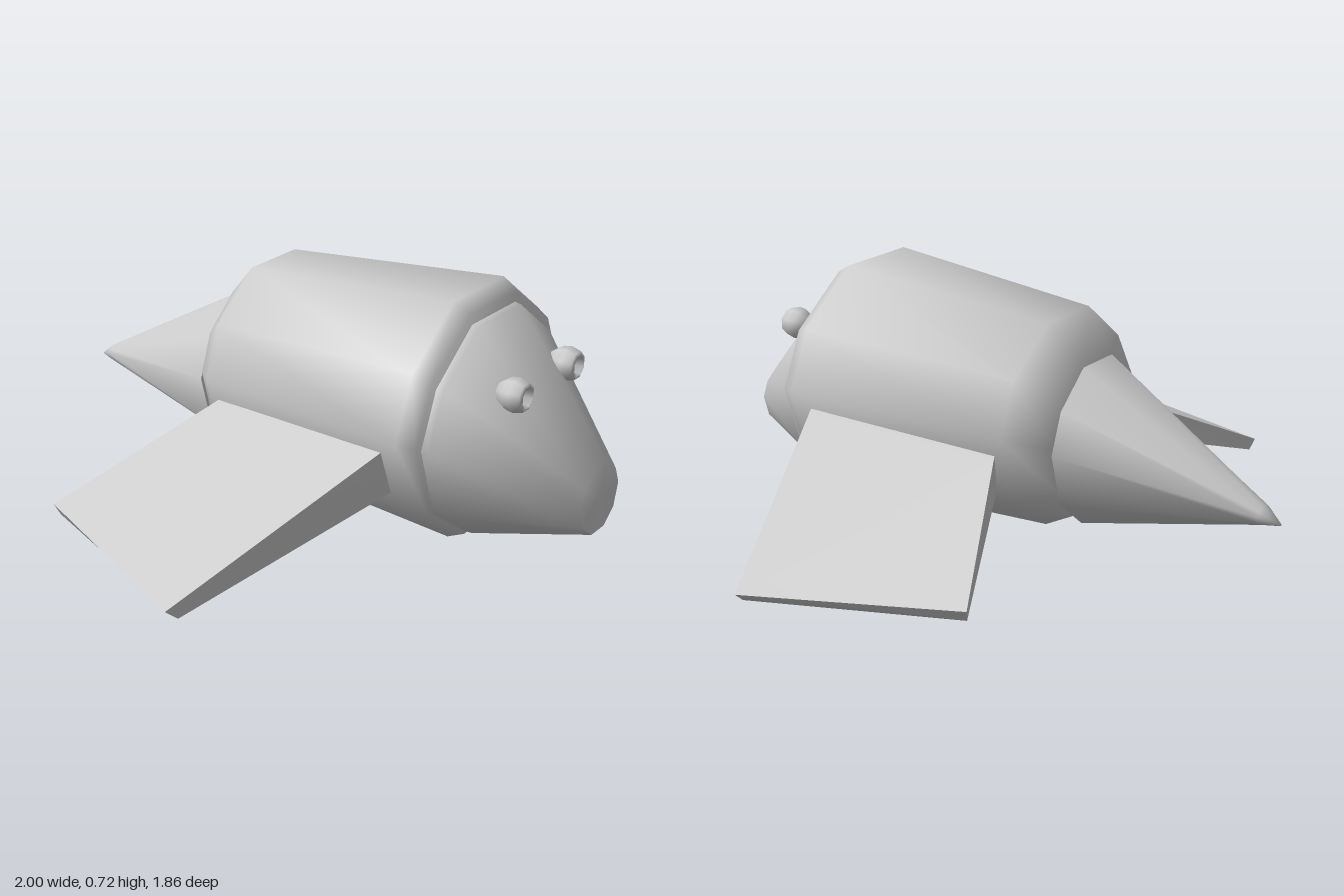
import * as THREE from 'three';
import { toCreasedNormals } from 'three/addons/utils/BufferGeometryUtils.js';

const material = new THREE.MeshStandardMaterial({ color: 0xcccccc });

// Ten-sided cross-section outline: x across, y from bottom (0) to top (1)
const half = [[1, 0.54], [0.81, 0.79], [0.32, 1], [-0.32, 1], [-0.81, 0.79],
  [-1, 0.54], [-0.81, 0.2], [-0.32, 0], [0.32, 0], [0.81, 0.2]];

const ring = (z, halfWidth, bottom, top) =>
  half.map(([x, y]) => [x * halfWidth, bottom + y * (top - bottom), z]);

// Skin a series of closed sections and cap both ends
function loft(name, rings, crease = 1.2) {
  const n = rings[0].length;
  const points = rings.flat();
  const index = [];
  for (let i = 0; i < rings.length - 1; i++) {
    for (let j = 0; j < n; j++) {
      const k = (j + 1) % n;
      const a = i * n + j, b = i * n + k, c = b + n, d = a + n;
      index.push(a, b, c, a, c, d);
    }
  }
  const last = (rings.length - 1) * n;
  const centre = r => [0, 1, 2].map(k => r.reduce((s, p) => s + p[k], 0) / n);
  const back = points.push(centre(rings[0])) - 1;
  const front = points.push(centre(rings[rings.length - 1])) - 1;
  for (let j = 0; j < n; j++) {
    const k = (j + 1) % n;
    index.push(back, k, j, front, last + j, last + k);
  }
  const geometry = new THREE.BufferGeometry();
  geometry.setAttribute('position', new THREE.Float32BufferAttribute(points.flat(), 3));
  geometry.setIndex(index);
  const mesh = new THREE.Mesh(toCreasedNormals(geometry, crease), material);
  mesh.name = name;
  return mesh;
}

// Slab wing sweeping back and down; side is +1 (left) or -1 (right)
function wing(side) {
  // leading top, leading bottom, trailing bottom, trailing top
  const root = [[0.4, 0.34, 0.455], [0.41, 0.19, 0.44], [0.33, 0.18, -0.18], [0.33, 0.31, -0.18]];
  const tip = [[1, 0.045, 0.2], [0.96, 0.01, 0.21], [0.755, 0.05, -0.41], [0.77, 0.085, -0.42]];
  const inner = root.map((p, i) => p.map((v, k) => v - 0.25 * (tip[i][k] - v)));
  const sections = [inner, root, tip].map(s => {
    const r = s.map(([x, y, z]) => [x * side, y, z]);
    return side > 0 ? r : r.reverse();
  });
  return loft(side > 0 ? 'leftWing' : 'rightWing', sections);
}

// Eight-sided eye ball cut flat at the front, with a hollow pupil
function eye(side) {
  const profile = [[0, -0.05], [0.03, -0.04], [0.046, -0.015], [0.05, 0.01],
    [0.042, 0.04], [0.03, 0.045], [0.026, 0.015], [0, 0.005]]
    .map(([r, y]) => new THREE.Vector2(r, y));
  const geometry = new THREE.LatheGeometry(profile, 8, Math.PI / 8);
  geometry.rotateX(Math.PI / 2);
  const mesh = new THREE.Mesh(geometry, material);
  mesh.name = side > 0 ? 'leftEye' : 'rightEye';
  mesh.position.set(0.142 * side, 0.5, 0.725);
  return mesh;
}

export function createModel() {
  const model = new THREE.Group();
  model.name = 'flyingCreature';

  // Barrel body with bevelled ends
  model.add(loft('body', [
    ring(-0.31, 0.225, 0.09, 0.555),
    ring(-0.205, 0.33, 0.04, 0.665),
    ring(0.52, 0.41, 0, 0.72),
    ring(0.57, 0.385, 0.02, 0.69),
  ]));

  // Wedge head with a blunt snout
  model.add(loft('head', [
    ring(0.56, 0.36, 0.025, 0.66),
    ring(0.59, 0.355, 0.025, 0.655),
    ring(0.93, 0.11, 0.09, 0.29),
  ]));

  // Tapering tail, drooping to a point
  model.add(loft('tail', [
    ring(-0.925, 0.003, 0.187, 0.193),
    ring(-0.87, 0.035, 0.18, 0.235),
    ring(-0.31, 0.23, 0.06, 0.545),
  ]));

  for (const side of [1, -1]) model.add(wing(side), eye(side));
  return model;
}
